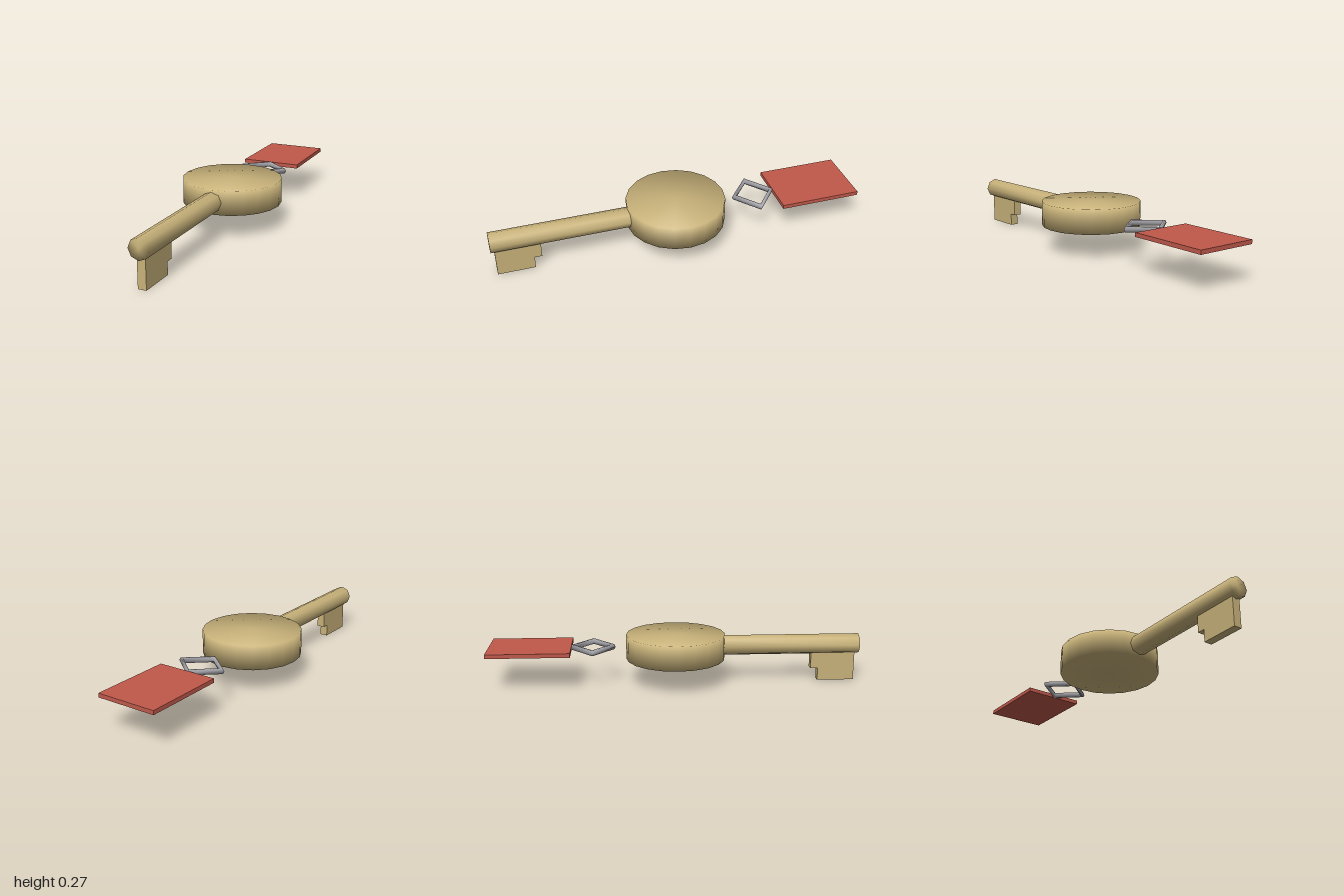
import * as THREE from 'three';
import { mergeVertices } from 'three/addons/utils/BufferGeometryUtils.js';

// Weld a geometry so its shading runs smoothly over every edge
function smooth(geometry) {
  geometry.deleteAttribute('uv');
  geometry.deleteAttribute('normal');
  const welded = mergeVertices(geometry, 1e-4);
  welded.computeVertexNormals();
  return welded;
}

export function createModel() {
  const brass = new THREE.MeshStandardMaterial({ name: 'brass', color: 0xc8b27a });
  const steel = new THREE.MeshStandardMaterial({ name: 'steel', color: 0xa2a2a8 });
  const red = new THREE.MeshStandardMaterial({ name: 'tag red', color: 0xc0594b });

  const key = new THREE.Group();
  key.name = 'key';
  const midY = 0.201;

  function add(name, geometry, material, x, y, z) {
    const mesh = new THREE.Mesh(geometry, material);
    mesh.name = name;
    mesh.position.set(x, y, z);
    key.add(mesh);
    return mesh;
  }

  // Round solid bow
  add('bow', smooth(new THREE.CylinderGeometry(0.267, 0.267, 0.132, 20)), brass, 0, midY, 0);

  // Eight-sided shaft running forward
  const shaftBack = 0.26;
  const shaft = smooth(new THREE.CylinderGeometry(0.055, 0.055, 1 - shaftBack, 8));
  shaft.rotateX(Math.PI / 2);
  add('shaft', shaft, brass, 0, midY, (1 + shaftBack) / 2);

  // Stepped bit: profile drawn in z and y, extruded across x
  const profile = new THREE.Shape();
  [[0.98, 0], [0.98, 0.17], [0.74, 0.17], [0.74, 0.067], [0.78, 0.067], [0.78, 0]]
    .forEach(([z, y], i) => (i ? profile.lineTo(-z, y) : profile.moveTo(-z, y)));
  const bit = new THREE.ExtrudeGeometry(profile, { depth: 0.044, bevelEnabled: false });
  bit.translate(0, 0, -0.022);
  bit.rotateY(Math.PI / 2);
  add('bit', bit, brass, 0, 0, 0);

  // Diamond-shaped link between bow and tag
  const link = new THREE.TorusGeometry(0.126, 0.016, 6, 4);
  link.rotateX(Math.PI / 2);
  link.scale(1, 1, 0.85);
  add('link', smooth(link), steel, 0, midY, -0.445);

  // Flat tag
  add('tag', new THREE.BoxGeometry(0.333, 0.022, 0.44), red, 0, midY, -0.78);

  return key;
}
